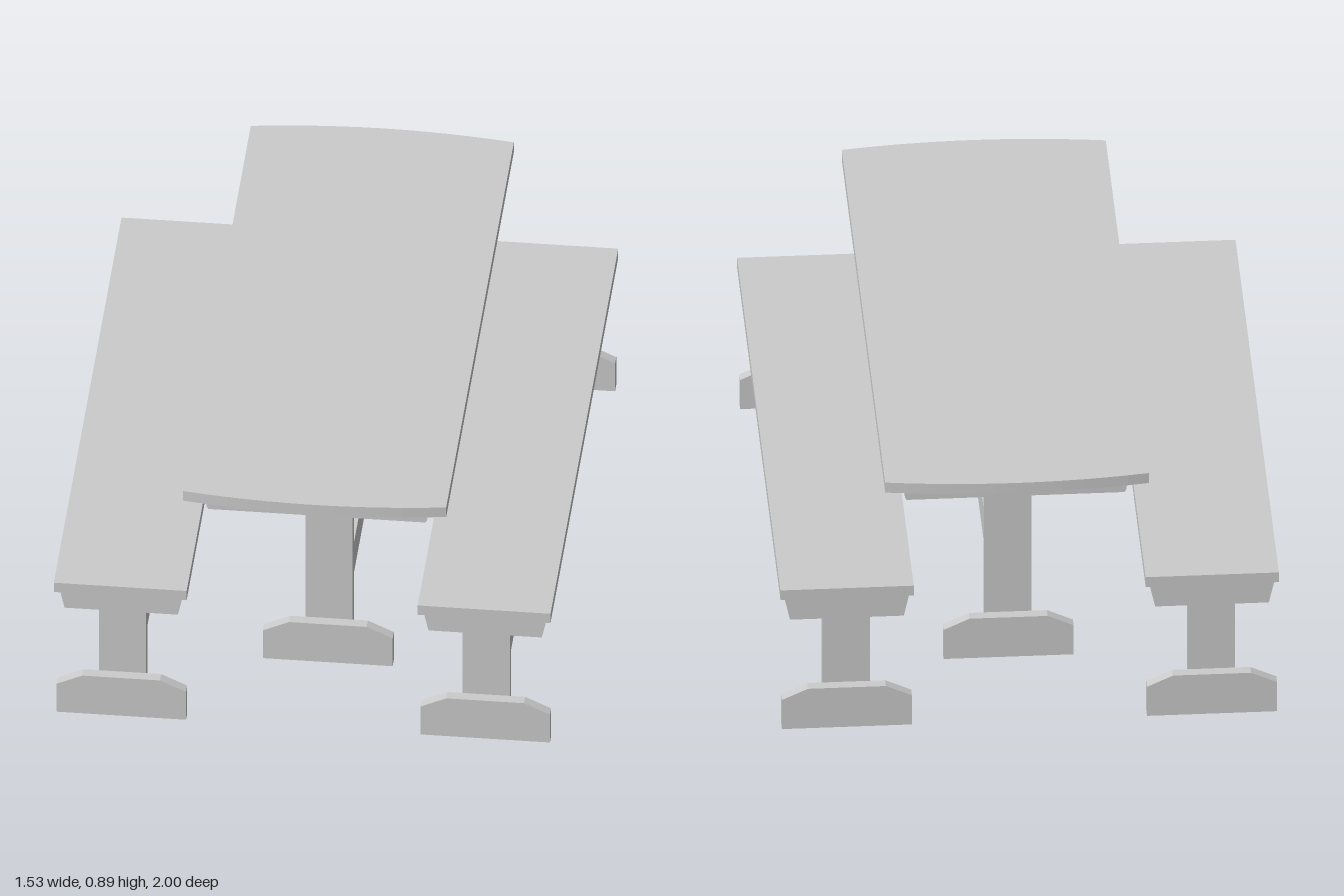
import * as THREE from 'three';

const material = new THREE.MeshStandardMaterial({ color: 0xcccccc, flatShading: true });

function add(parent, name, geometry, x = 0, y = 0, z = 0) {
  const mesh = new THREE.Mesh(geometry, material);
  mesh.name = name;
  mesh.position.set(x, y, z);
  parent.add(mesh);
}

// Box given by its lower and upper limits
function block(parent, name, [x0, x1], [y0, y1], [z0, z1]) {
  add(parent, name, new THREE.BoxGeometry(x1 - x0, y1 - y0, z1 - z0),
    (x0 + x1) / 2, (y0 + y1) / 2, (z0 + z1) / 2);
}

// Upright board cut to an outline, mirrored left to right
function board(parent, name, half, [z0, z1]) {
  const points = [...half, ...half.map(([x, y]) => [-x, y]).reverse()];
  const shape = new THREE.Shape(points.map(([x, y]) => new THREE.Vector2(x, y)));
  add(parent, name, new THREE.ExtrudeGeometry(shape, { depth: z1 - z0, bevelEnabled: false }), 0, 0, z0);
}

// Foot, post and low hollow stretcher shared by table and benches
function trestles(parent, front, back, top) {
  const t = 0.034;
  const foot = [[0.2, 0.003], [0.2, 0.108], [0.12, 0.145]];
  for (const [z, side] of [[front, 1], [back, -1]]) {
    const span = (a, b) => [z + side * a, z + side * b].sort((p, q) => p - q);
    block(parent, 'post', [-0.073, 0.073], [0, top], span(-t, 0));
    board(parent, 'foot', foot, span(0, t));
  }
  const length = [back + t, front - t];
  block(parent, 'stretcherTop', [-0.033, 0.033], [0.13, 0.143], length);
  for (const s of [-1, 1]) {
    block(parent, 'stretcherSide', [s * 0.027 - 0.006, s * 0.027 + 0.006], [0.03, 0.143], length);
  }
}

function createTable() {
  const table = new THREE.Group();
  table.name = 'table';
  table.position.x = 0.035;

  // Top with gently bowed ends
  const outline = new THREE.Shape();
  outline.moveTo(-0.406, -0.97);
  outline.quadraticCurveTo(0, -1.03, 0.406, -0.97);
  outline.lineTo(0.406, 0.97);
  outline.quadraticCurveTo(0, 1.03, -0.406, 0.97);
  const top = new THREE.ExtrudeGeometry(outline, { depth: 0.036, bevelEnabled: false, curveSegments: 12 });
  add(table, 'tableTop', top.rotateX(-Math.PI / 2), 0, 0.85, 0);

  // Battens under the top
  const batten = [[0.335, 0.777], [0.34, 0.785], [0.35, 0.85]];
  for (const z of [0.87, 0.557, -0.587, -0.9]) board(table, 'tableBatten', batten, [z, z + 0.034]);

  trestles(table, 0.557, -0.553, 0.85);
  return table;
}

function createBench(x) {
  const bench = new THREE.Group();
  bench.name = x > 0 ? 'leftBench' : 'rightBench';
  bench.position.x = x;
  block(bench, 'seat', [-0.205, 0.205], [0.475, 0.51], [-0.97, 0.97]);
  const batten = [[0.175, 0.397], [0.192, 0.475]];
  for (const z of [0.906, -0.96]) board(bench, 'seatBatten', batten, [z, z + 0.034]);
  trestles(bench, 0.906, -0.926, 0.475);
  return bench;
}

export function createModel() {
  const model = new THREE.Group();
  model.name = 'picnicTable';
  model.add(createTable(), createBench(0.558), createBench(-0.565));
  return model;
}
